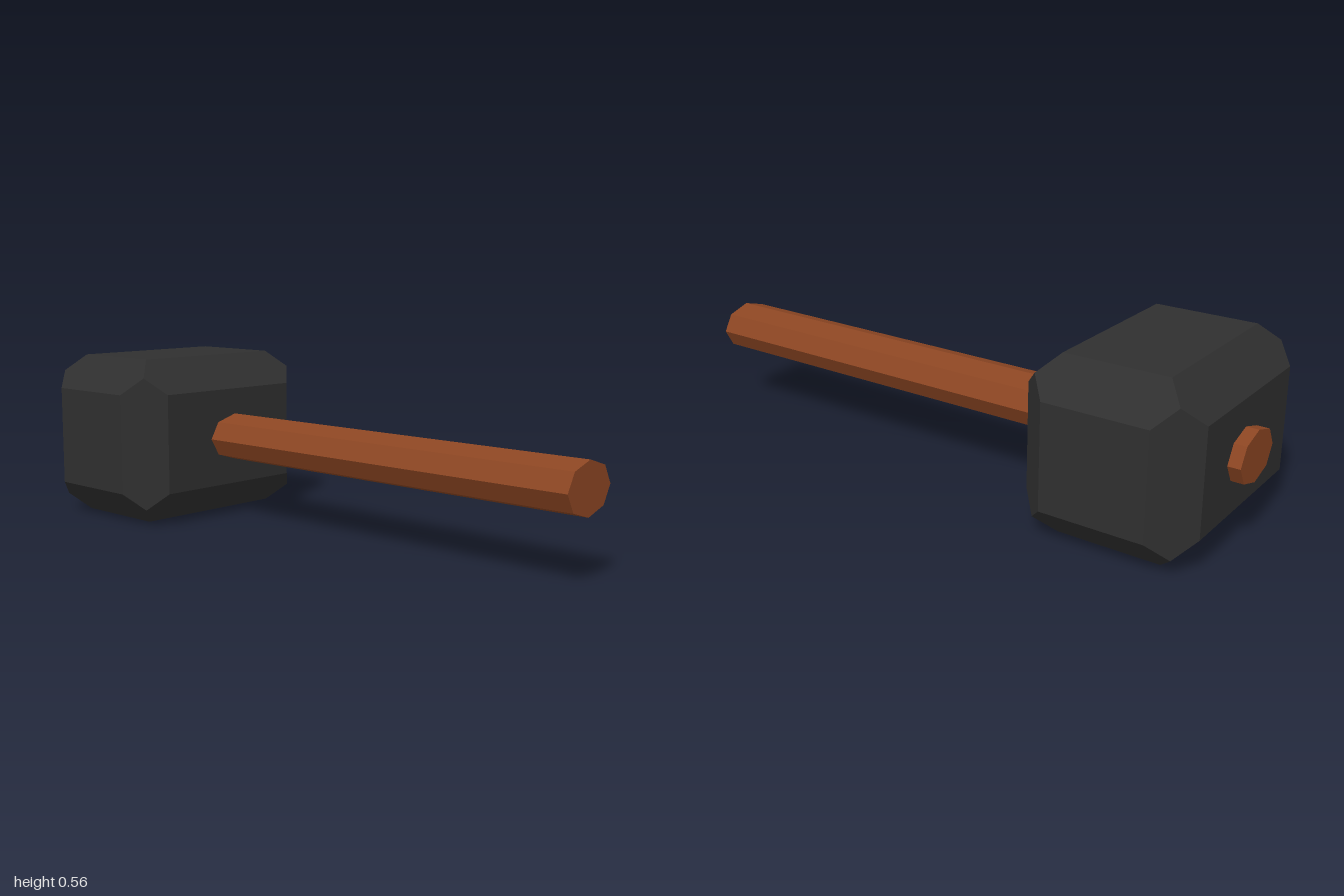
import * as THREE from 'three';
import { ConvexGeometry } from 'three/addons/geometries/ConvexGeometry.js';

// Box with flat mitred chamfers of width c on every edge
function chamferedBox(hx, hy, hz, c) {
  const points = [];
  for (const x of [-1, 1]) for (const y of [-1, 1]) for (const z of [-1, 1]) {
    const add = (a, b, d) => points.push(new THREE.Vector3(x * (hx - a), y * (hy - b), z * (hz - d)));
    add(0, c, c); // corners of the six flat faces
    add(c, 0, c);
    add(c, c, 0);
    add(c / 2, c / 2, c / 2); // point where three chamfers meet
  }
  return new ConvexGeometry(points);
}

export function createModel() {
  const group = new THREE.Group();
  group.name = 'hammer';

  // Heavy chamfered head
  const head = new THREE.Mesh(
    chamferedBox(0.388, 0.2775, 0.2775, 0.111),
    new THREE.MeshStandardMaterial({ color: 0x2f2f2f, flatShading: true })
  );
  head.name = 'head';
  head.position.set(0, 0.2775, -0.683);
  group.add(head);

  // Flattened octagonal handle, passing right through the head
  const handle = new THREE.Mesh(
    new THREE.CylinderGeometry(1, 1, 2, 8).rotateX(Math.PI / 2).scale(0.11, 0.08, 1),
    new THREE.MeshStandardMaterial({ color: 0x8b4522, flatShading: true })
  );
  handle.name = 'handle';
  handle.position.set(0.022, 0.276, 0);
  group.add(handle);

  return group;
}
